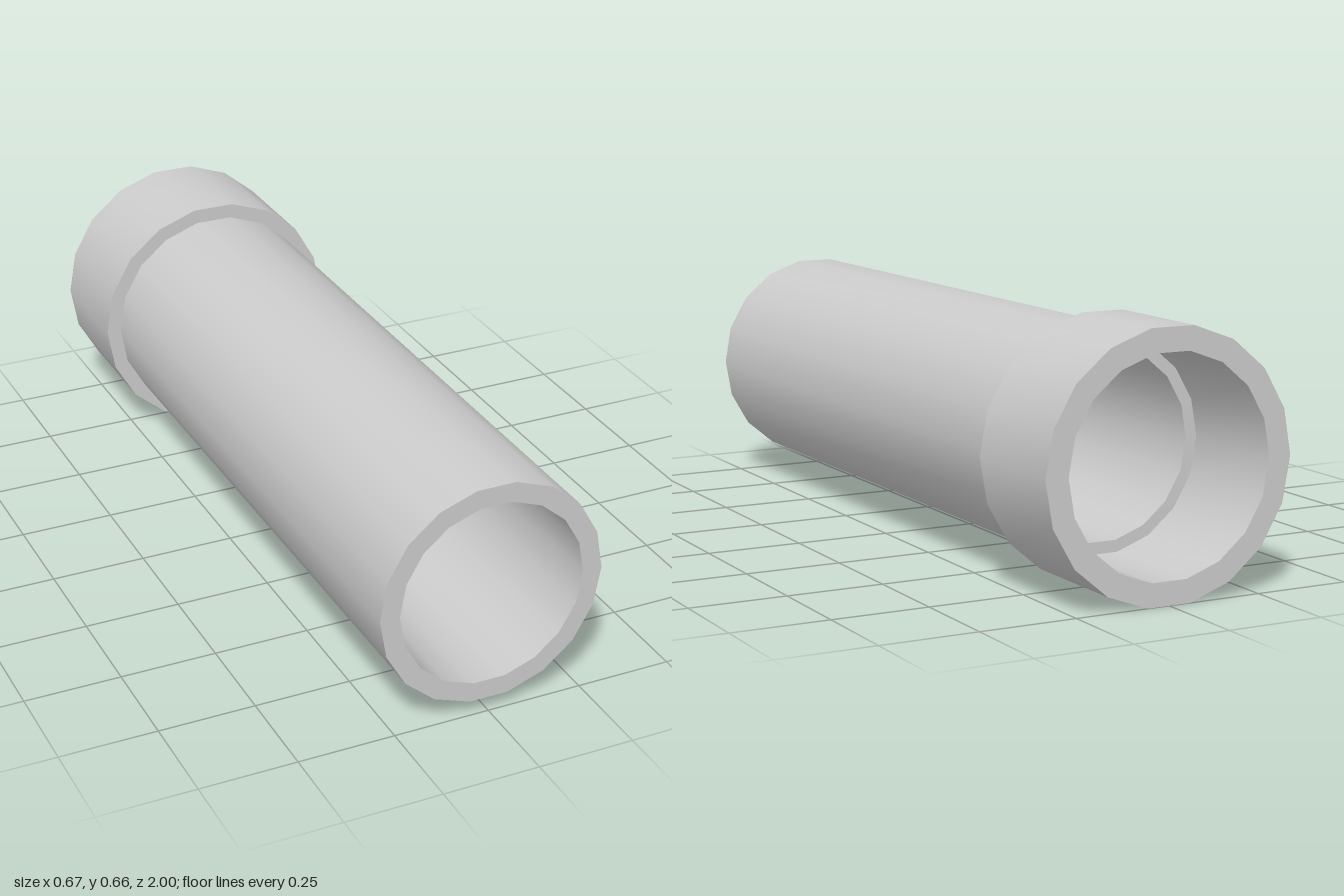
import * as THREE from 'three';
import { toCreasedNormals } from 'three/addons/utils/BufferGeometryUtils.js';

const SIDES = 18;
const FRONT = 1, STEP = -0.686, BACK = -1;
const BORE = 0.242, BARREL = 0.293, SOCKET_BORE = 0.273, SOCKET = 0.333;

// Turns a [radius, z] profile around the z axis, with corners at +x and -x
function turned(name, profile, material) {
  const points = profile.map(([r, z]) => new THREE.Vector2(r, z));
  const lathe = new THREE.LatheGeometry(points, SIDES, Math.PI / 2);
  lathe.rotateX(Math.PI / 2);
  const mesh = new THREE.Mesh(toCreasedNormals(lathe, Math.PI / 6), material);
  mesh.name = name;
  return mesh;
}

export function createModel() {
  const group = new THREE.Group();
  group.name = 'pipe';
  const material = new THREE.MeshStandardMaterial({ color: 0xcccccc });

  // Long barrel: outer wall, front rim, bore
  group.add(turned('barrel', [
    [BARREL, STEP], [BARREL, FRONT], [BORE, FRONT], [BORE, STEP],
  ], material));

  // Wider socket: inner ledge, socket bore, back rim, outer wall, shoulder
  group.add(turned('socket', [
    [BORE, STEP], [SOCKET_BORE, STEP], [SOCKET_BORE, BACK],
    [SOCKET, BACK], [SOCKET, STEP], [BARREL, STEP],
  ], material));

  // Rest the flat underside of the socket on the ground
  for (const part of group.children) part.position.y = SOCKET * Math.cos(Math.PI / SIDES);
  return group;
}
